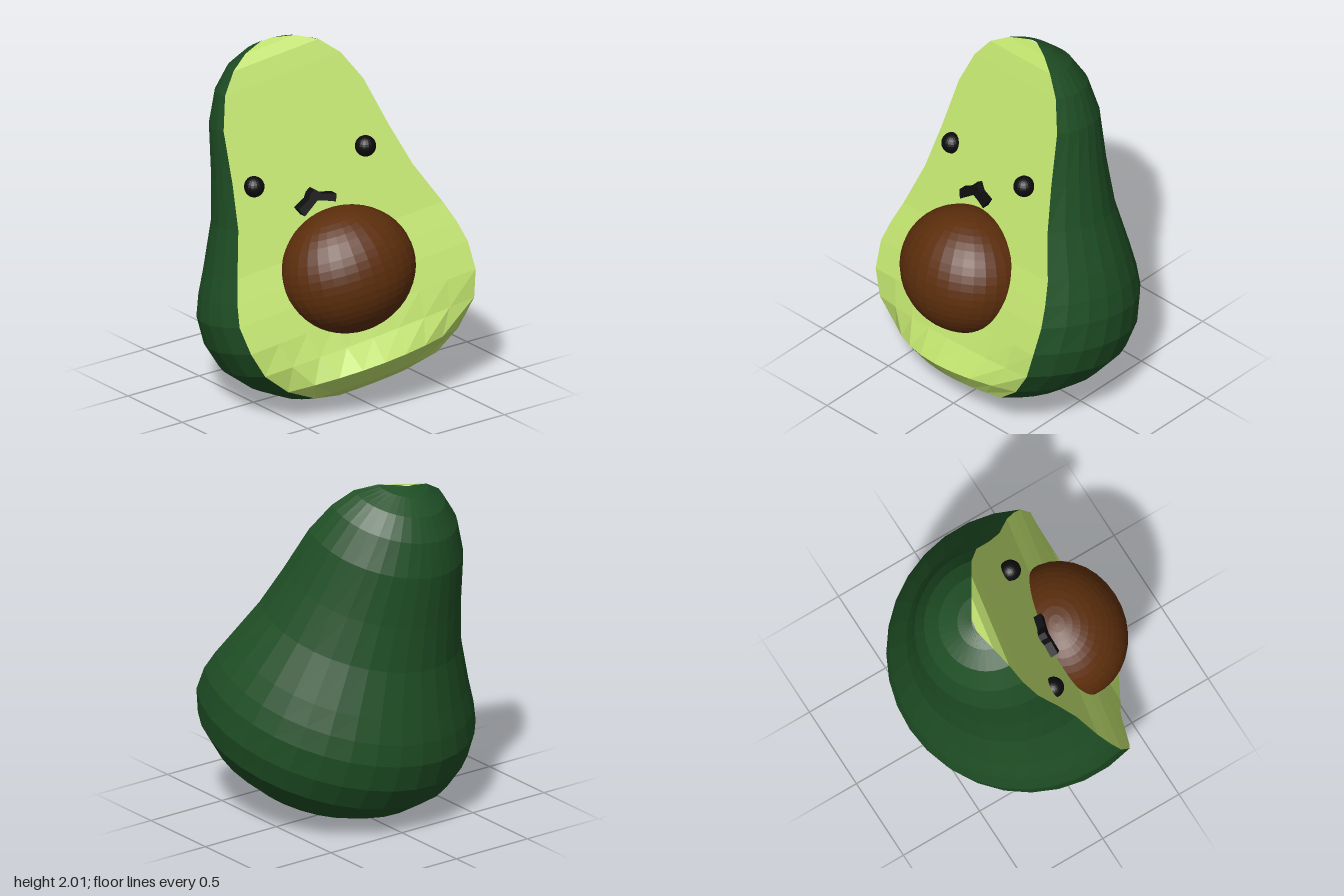
import * as THREE from 'three';

// Leaning body frame: UP is the fruit's axis, FRONT points out of the cut, SIDE is its left
const UP = new THREE.Vector3(-0.125, 0.958, -0.259).normalize();
const FRONT = new THREE.Vector3(-0.206, 0.396, 0.895);
FRONT.addScaledVector(UP, -FRONT.dot(UP)).normalize();
const SIDE = new THREE.Vector3().crossVectors(UP, FRONT);
const ORIGIN = new THREE.Vector3(0, 0.65, 0.1);

// Height of the tilted cut plane in z
const cutZ = (x, y) => 0.671 + 0.23 * x - 0.442 * y;
const cut = (h) => 0.258 - 0.176 * h;

// Rings along the axis: height, radius, distance of the cut from the axis, bulge of the flesh
const RINGS = [
  [-0.615, 0.002, 0.001, 0], [-0.6, 0.26, 0.15, 0.02], [-0.545, 0.46, 0.24, 0.07],
  [-0.45, 0.61, 0.265, 0.155], [-0.31, 0.738, 0.3, 0.045], [-0.16, 0.787, 0.308, 0],
  [0, 0.787, 0.278, 0], [0.12, 0.75, 0.248, 0], [0.25, 0.695, cut(0.25), 0],
  [0.5, 0.588, cut(0.5), 0], [0.75, 0.52, cut(0.75), 0], [1.04, 0.457, cut(1.04), 0],
  [1.22, 0.375, cut(1.22), 0], [1.33, 0.275, 0.02, 0], [1.39, 0.16, -0.02, 0],
  [1.412, 0.075, -0.065, 0],
];

// The lower belly sags slightly to the right
const sag = (h) => -0.02 * THREE.MathUtils.clamp((0.3 - h) / 0.3, 0, 1);
const inFrame = (side, up, front) => ORIGIN.clone()
  .addScaledVector(SIDE, side + sag(up)).addScaledVector(UP, up).addScaledVector(FRONT, front);

// Surface through the rings, columns running left to right seen from outside
function ringSurface(cols, pointAt) {
  const pos = [], index = [];
  RINGS.forEach((ring, i) => {
    for (let j = 0; j <= cols; j++) {
      pos.push(...pointAt(ring, j / cols).toArray());
      if (i && j) {
        const d = i * (cols + 1) + j, c = d - 1, b = d - cols - 1, a = b - 1;
        index.push(a, b, d, a, d, c);
      }
    }
  });
  const g = new THREE.BufferGeometry();
  g.setAttribute('position', new THREE.Float32BufferAttribute(pos, 3));
  g.setIndex(index);
  g.computeVertexNormals();
  return g;
}

export function createModel() {
  const model = new THREE.Group();
  model.name = 'avocadoHalf';

  const paint = (color) => new THREE.MeshStandardMaterial({ color, flatShading: true });
  const black = paint(0x0c0c0e);
  const add = (name, geometry, material) => {
    const mesh = new THREE.Mesh(geometry, material);
    mesh.name = name;
    model.add(mesh);
    return mesh;
  };

  // Rounded rind: the arc of every ring behind the cut
  add('skin', ringSurface(20, ([h, r, d], t) => {
    const start = Math.acos(d / r);
    const a = start + t * (2 * Math.PI - 2 * start);
    return inFrame(r * Math.sin(a), h, r * Math.cos(a));
  }), paint(0x1f4f25));

  // Cut face: the chord of every ring, swelling and curling under at the bottom
  add('flesh', ringSurface(8, ([h, r, d, bulge], t) => {
    const s = 2 * t - 1;
    return inFrame(s * Math.sqrt(r * r - d * d), h, d + bulge * (1 - s * s));
  }), paint(0xc0e26e));

  // Pit, half sunk in the flesh
  const pit = add('pit', new THREE.SphereGeometry(1, 32, 24), paint(0x5c2e0c));
  pit.quaternion.setFromRotationMatrix(new THREE.Matrix4().makeBasis(SIDE, UP, FRONT));
  pit.scale.set(0.395, 0.358, 0.335);
  pit.position.set(-0.087, 0.797, 0.325);

  // Eyes
  for (const [name, x, y, lift] of [['leftEye', 0.19, 1.408, 0.035], ['rightEye', -0.49, 1.283, 0]]) {
    add(name, new THREE.SphereGeometry(0.06, 20, 14), black)
      .position.set(x, y, cutZ(x, y) + lift);
  }

  // Mouth: a bent bar sheared onto the cut face
  const outline = [[-0.265, 1.105], [-0.17, 1.175], [-0.13, 1.17], [-0.065, 1.155],
    [-0.05, 1.195], [-0.13, 1.205], [-0.17, 1.235], [-0.2, 1.215], [-0.22, 1.185], [-0.29, 1.145]];
  const mouth = new THREE.ExtrudeGeometry(
    new THREE.Shape(outline.map(([x, y]) => new THREE.Vector2(x, y))),
    { depth: 0.07, bevelEnabled: false });
  const p = mouth.attributes.position;
  for (let i = 0; i < p.count; i++) {
    p.setZ(i, p.getZ(i) - 0.025 + cutZ(p.getX(i), p.getY(i)));
  }
  mouth.computeVertexNormals();
  add('mouth', mouth, black);

  return model;
}
